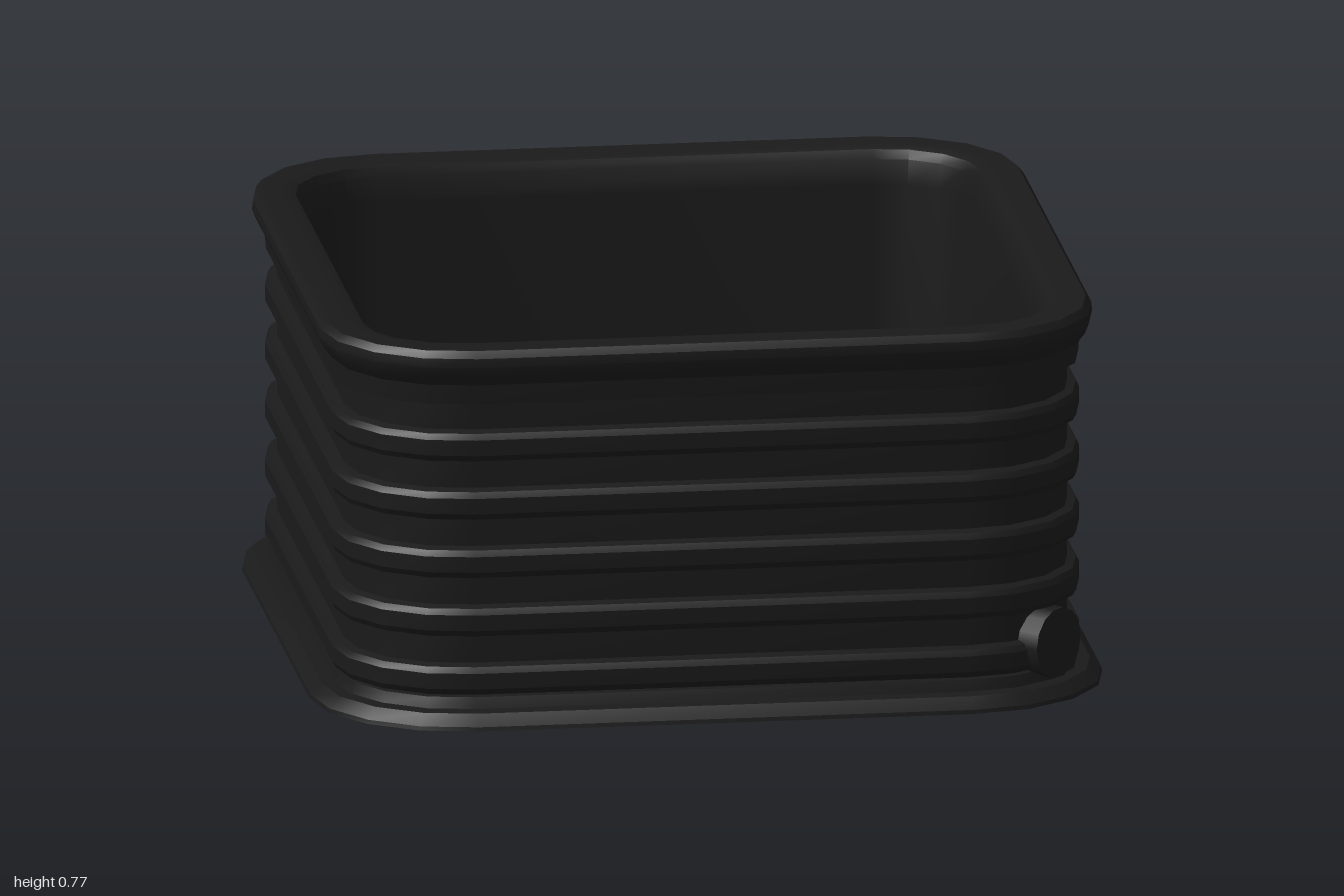
import * as THREE from 'three';
import { toCreasedNormals } from 'three/addons/utils/BufferGeometryUtils.js';

const CORNER = 0.7; // distance of each corner-arc centre from the axis
const ARC = 4; // facets per rounded corner

// Rounded square standing on its corners; R is the reach of a corner
function outline(R) {
  const pts = [];
  for (let q = 0; q < 4; q++) {
    for (let j = 0; j <= ARC; j++) {
      const a = q * Math.PI / 2 - Math.PI / 4 + (j / ARC) * Math.PI / 2;
      pts.push(new THREE.Vector2(
        CORNER * Math.cos(q * Math.PI / 2) + (R - CORNER) * Math.cos(a),
        CORNER * Math.sin(q * Math.PI / 2) + (R - CORNER) * Math.sin(a)));
    }
  }
  return pts;
}

// Sweep an [R, y] profile around the rounded square
function sweep(profile) {
  const pos = [], index = [];
  const n = 4 * (ARC + 1);
  profile.forEach(([R, y]) => outline(R).forEach(p => pos.push(p.x, y, p.y)));
  for (let i = 0; i < profile.length - 1; i++) {
    for (let k = 0; k < n; k++) {
      const a = i * n + k, b = i * n + (k + 1) % n, c = a + n, d = b + n;
      index.push(a, c, b, b, c, d);
    }
  }
  const g = new THREE.BufferGeometry();
  g.setAttribute('position', new THREE.Float32BufferAttribute(pos, 3));
  g.setIndex(index);
  return toCreasedNormals(g, 0.5);
}

// Cross-shaped channel whose four arms flare into round ends
function channelOutline() {
  const arm = [[0.05, 0.05], [0.65, 0.05], [0.68, 0.065]];
  const half = [];
  for (let i = 0; i <= 16; i++) {
    const a = (1 - i / 8) * Math.PI * 0.75;
    half.push([0.773 + 0.098 * Math.cos(a), 0.098 * Math.sin(a)]);
  }
  const loop = [...arm, ...half, [0.68, -0.065], [0.65, -0.05]];
  const pts = [];
  for (let q = 0; q < 4; q++) {
    const c = Math.cos(-q * Math.PI / 2), s = Math.sin(-q * Math.PI / 2);
    loop.forEach(([x, y]) => pts.push(new THREE.Vector2(x * c - y * s, x * s + y * c)));
  }
  return pts;
}

export function createModel() {
  const group = new THREE.Group();
  const material = new THREE.MeshStandardMaterial({ color: 0x1a1a1a });
  const add = (name, geometry) => {
    const mesh = new THREE.Mesh(geometry, material);
    mesh.name = name;
    group.add(mesh);
    return mesh;
  };

  // Outer wall: flared foot, five ribs, rolled rim, then down the inside
  const profile = [[1, 0], [0.998, 0.008], [0.975, 0.03], [0.95, 0.033], [0.942, 0.055]];
  for (let i = 0; i < 5; i++) {
    const y = 0.09 + i * 0.12;
    profile.push([0.93, y - 0.033], [0.947, y - 0.028], [0.954, y - 0.016],
      [0.954, y + 0.016], [0.947, y + 0.028], [0.93, y + 0.033]);
  }
  profile.push([0.93, 0.655], [0.952, 0.66], [0.955, 0.7], [0.972, 0.722], [0.98, 0.742],
    [0.978, 0.76], [0.967, 0.774], [0.91, 0.775], [0.892, 0.768], [0.882, 0.75],
    [0.875, 0.7], [0.875, 0.04]);
  add('ribbedWall', sweep(profile));

  // Underside
  const bottom = new THREE.ShapeGeometry(new THREE.Shape(outline(1)));
  add('underside', bottom.rotateX(Math.PI / 2));

  // Raised floor with the drainage channel cut through it
  const floorShape = new THREE.Shape(outline(0.876));
  floorShape.holes.push(new THREE.Path(channelOutline()));
  const floor = new THREE.ExtrudeGeometry(floorShape, { depth: 0.06, bevelEnabled: false });
  add('floor', floor.rotateX(-Math.PI / 2).translate(0, 0.04, 0));

  // Channel bed
  const bed = new THREE.ShapeGeometry(new THREE.Shape(outline(0.876)));
  add('channelBed', bed.rotateX(-Math.PI / 2).translate(0, 0.04, 0));

  // Drain disc at the outlet end of the channel
  const disc = new THREE.CylinderGeometry(0.097, 0.097, 0.012, 24);
  add('drainDisc', disc.translate(0.773, 0.046, 0));

  // Drain plug on the outer corner
  const plug = new THREE.CylinderGeometry(0.072, 0.072, 0.07, 14);
  add('drainPlug', plug.rotateZ(Math.PI / 2).translate(0.93, 0.11, 0));

  return group;
}
